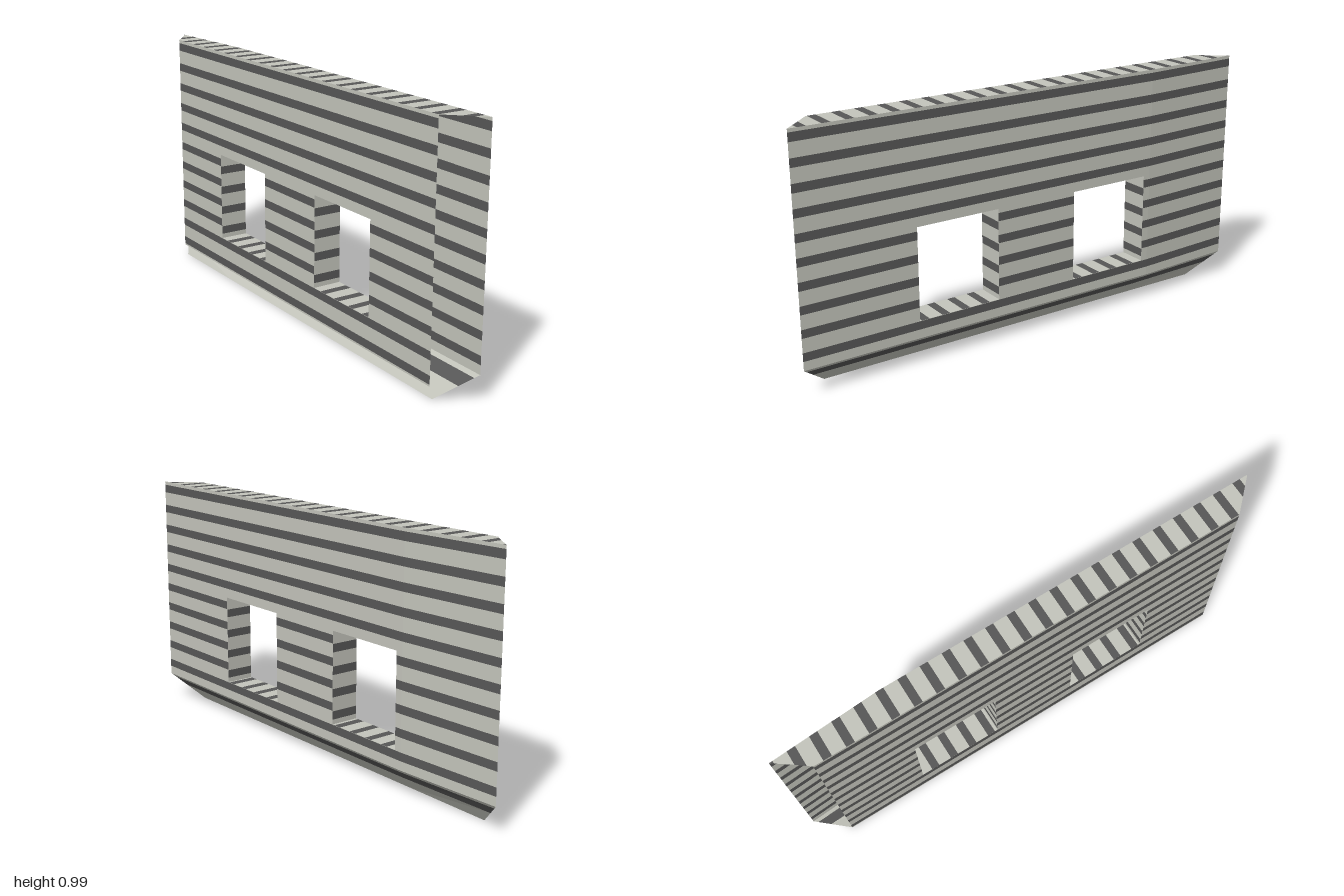
import * as THREE from 'three';

const PERIOD = 0.0887, BAND = 0.033;
const TOP = 0.99, FOLD = 0.11, INNER_X = -0.06, INNER_Z = 0.88;
const SILL = 0.18, HEAD = 0.55;
const windows = [[-0.53, -0.175], [0.18, 0.53]];

// The outer skin tapers inwards towards its rear end
const outerX = z => (z > -0.56 ? 0.057 : 0.03 + (0.027 * (z + 1)) / 0.44);
const lerp = THREE.MathUtils.lerp;

// Range from a to b, cut at each stripe edge and at the extra values
function cuts(a, b, start, extra = []) {
  const list = [a, b, ...extra];
  for (let k = -30; k < 30; k++) list.push(start + k * PERIOD, start + k * PERIOD + BAND);
  return [...new Set(list)].filter(t => t >= a && t <= b).sort((p, q) => p - q);
}

const striped = start => t => THREE.MathUtils.euclideanModulo(t - start, PERIOD) < BAND;

export function createModel() {
  const light = new THREE.MeshStandardMaterial({ color: 0xc3c4bb, side: THREE.DoubleSide });
  light.name = 'pale grey';
  const dark = new THREE.MeshStandardMaterial({ color: 0x575757, side: THREE.DoubleSide });
  dark.name = 'dark grey';
  const group = new THREE.Group();
  group.name = 'wallPanel';

  // Sheet of quads over a grid: "along" crosses the stripes, "across" follows them
  function sheet(name, along, across, point, isDark, flip = false, isHole = () => false) {
    const quads = [[], []];
    for (let i = 0; i + 1 < along.length; i++) {
      const mid = (along[i] + along[i + 1]) / 2;
      for (let j = 0; j + 1 < across.length; j++) {
        if (isHole(mid, (across[j] + across[j + 1]) / 2)) continue;
        const a = point(along[i], across[j]), b = point(along[i + 1], across[j]);
        const c = point(along[i + 1], across[j + 1]), d = point(along[i], across[j + 1]);
        const corners = flip ? [a, c, b, a, d, c] : [a, b, c, a, c, d];
        quads[isDark(mid) ? 1 : 0].push(...corners.flat());
      }
    }
    const geo = new THREE.BufferGeometry();
    geo.setAttribute('position', new THREE.Float32BufferAttribute([...quads[0], ...quads[1]], 3));
    geo.addGroup(0, quads[0].length / 3, 0);
    geo.addGroup(quads[0].length / 3, quads[1].length / 3, 1);
    geo.computeVertexNormals();
    const mesh = new THREE.Mesh(geo, [light, dark]);
    mesh.name = name;
    group.add(mesh);
  }

  const wallStart = 0.1457, topStart = -0.043, jambStart = 0.199;
  const inWindow = (y, z) => y > SILL && y < HEAD && windows.some(([a, b]) => z > a && z < b);

  // Outer and inner skins with window openings
  sheet('outerWall', cuts(FOLD, TOP, wallStart, [SILL, HEAD]),
    [-1, -0.56, ...windows.flat(), 1],
    (y, z) => [outerX(z), y, z], striped(wallStart), false, inWindow);
  sheet('innerWall', cuts(0.05, TOP, wallStart, [SILL, HEAD]),
    [-INNER_Z, ...windows.flat(), INNER_Z],
    (y, z) => [INNER_X, y, z], striped(wallStart), true, inWindow);

  // Flat top with mitred ends
  sheet('topEdge', cuts(-1, 1, topStart, [-INNER_Z, -0.56, INNER_Z]), [0, 1], (z, t) => {
    const mitre = Math.max(0, (Math.abs(z) - INNER_Z) / (1 - INNER_Z));
    return [lerp(lerp(INNER_X, outerX(z), mitre), outerX(z), t), TOP, z];
  }, striped(topStart));

  // Sloping skirt folded in under the outer skin
  sheet('bottomSkirt', [0, 0.12, 0.45, 1], [-1, -0.56, 1],
    (s, z) => [lerp(outerX(z), -0.047, s), FOLD * (1 - s), z * (1 - 0.12 * s)],
    s => s > 0.12 && s < 0.45, true);

  // Linings of the window openings
  for (const [z0, z1] of windows) {
    const depth = (z, t) => lerp(INNER_X, outerX(z), t);
    for (const z of [z0, z1])
      sheet('windowJamb', cuts(SILL, HEAD, jambStart), [0, 1],
        (y, t) => [depth(z, t), y, z], striped(jambStart), z === z0);
    for (const y of [SILL, HEAD])
      sheet(y === SILL ? 'windowSill' : 'windowHead', cuts(z0, z1, topStart), [0, 1],
        (z, t) => [depth(z, t), y, z], striped(topStart), y === HEAD);
  }
  return group;
}
